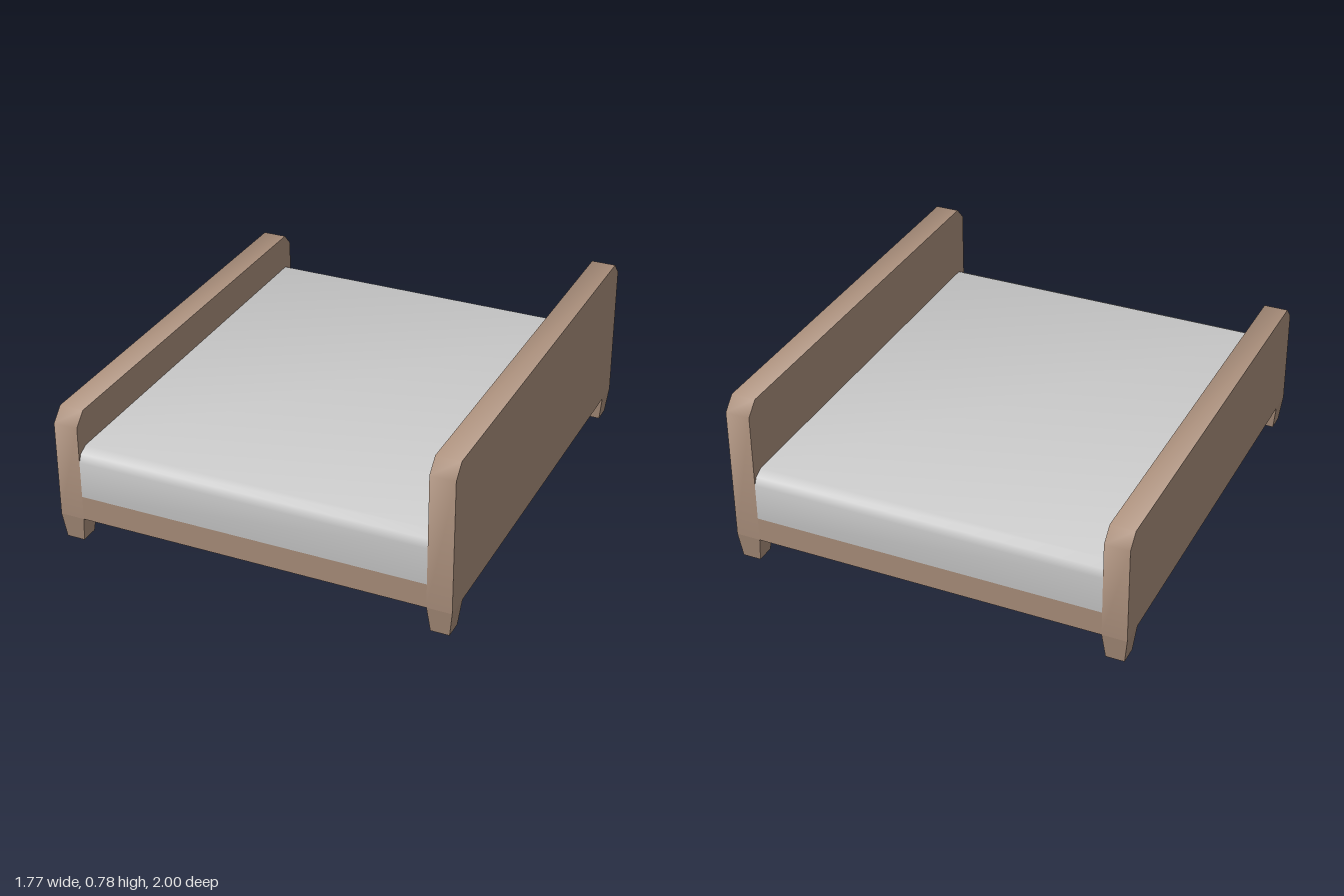
import * as THREE from 'three';
import { toCreasedNormals } from 'three/addons/utils/BufferGeometryUtils.js';

// Extrudes a z/y half profile, mirrored front to back, from x0 to x1
function slab(half, x0, x1) {
  const pts = [...half, ...half.map(([z, y]) => [-z, y]).reverse()];
  const shape = new THREE.Shape(pts.map(([z, y]) => new THREE.Vector2(z, y)));
  const geo = new THREE.ExtrudeGeometry(shape, { depth: x1 - x0, bevelEnabled: false });
  geo.rotateY(-Math.PI / 2).translate(x1, 0, 0);
  return toCreasedNormals(geo, Math.PI / 3);
}

export function createModel() {
  const wood = new THREE.MeshStandardMaterial({ name: 'wood', color: 0xb09480 });
  const fabric = new THREE.MeshStandardMaterial({ name: 'mattress fabric', color: 0xcccccc });
  const model = new THREE.Group();
  model.name = 'bed';
  const add = (name, geo, mat) => {
    const mesh = new THREE.Mesh(geo, mat);
    mesh.name = name;
    model.add(mesh);
    return mesh;
  };

  // End boards with chamfered upper corners
  const board = (h) => [[1, 0.115], [1, h - 0.058], [0.945, h]];
  add('headboard', slab(board(0.78), 0.778, 0.887), wood);
  add('footboard', slab(board(0.612), -0.887, -0.778), wood);

  // Solid base between the boards
  const base = new THREE.BoxGeometry(1.556, 0.11, 2);
  add('bedBase', base.translate(0, 0.17, 0), wood);

  // Mattress with softened front and back edges
  const mattress = [[1, 0.225], [1, 0.39], [0.985, 0.425], [0.945, 0.447]];
  add('mattress', slab(mattress, -0.778, 0.778), fabric);

  // Tapered feet at the four corners
  const foot = new THREE.BoxGeometry(0.109, 0.115, 0.11);
  const p = foot.attributes.position;
  for (let i = 0; i < p.count; i++) {
    if (p.getY(i) < 0) p.setXYZ(i, p.getX(i) * 0.75, p.getY(i), p.getZ(i) * 0.75);
  }
  foot.computeVertexNormals();
  for (const x of [-1, 1]) {
    for (const z of [-1, 1]) {
      const name = (z > 0 ? 'front' : 'back') + (x > 0 ? 'Left' : 'Right') + 'Foot';
      add(name, foot, wood).position.set(x * 0.8325, 0.0575, z * 0.945);
    }
  }
  return model;
}
